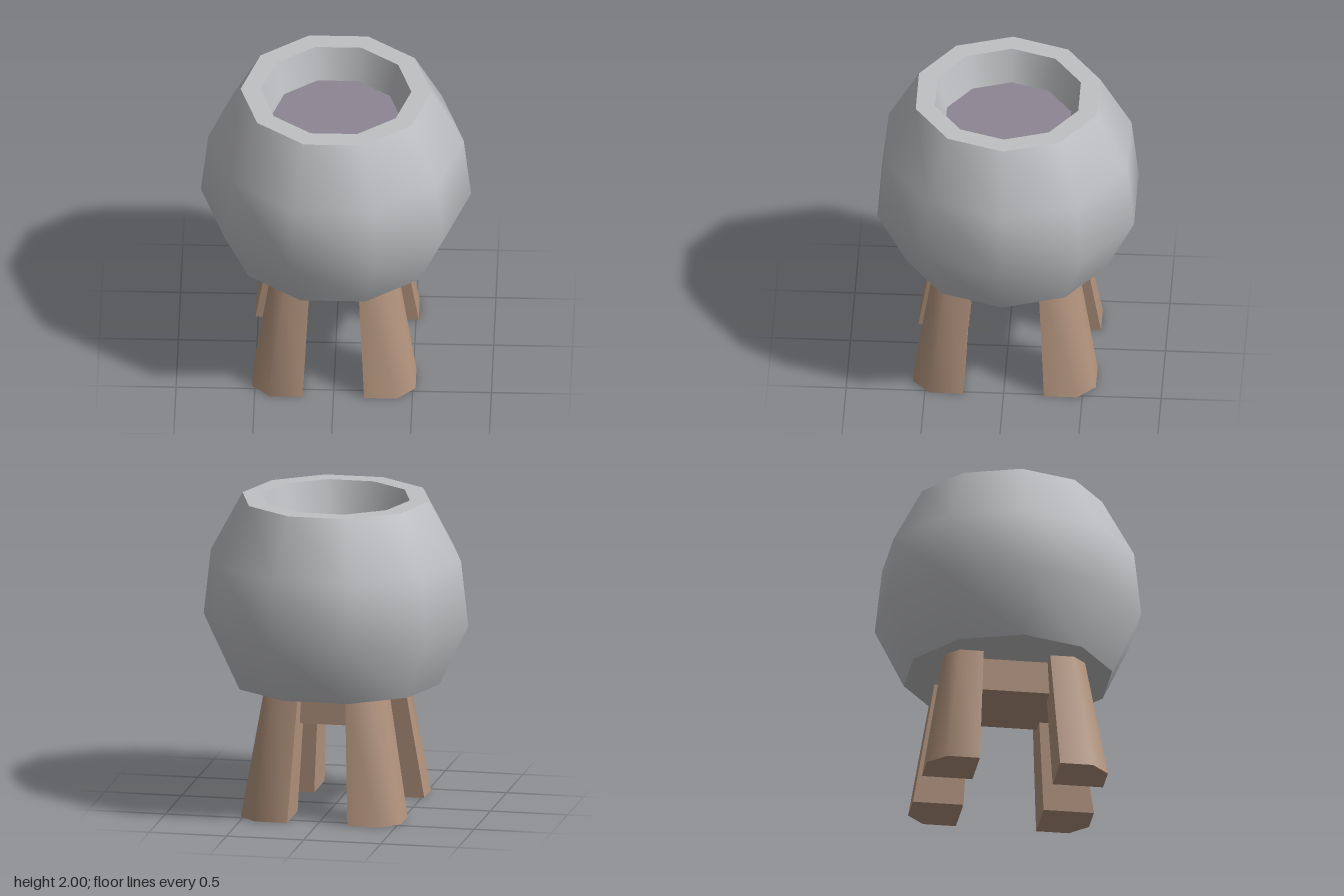
import * as THREE from 'three';
import { toCreasedNormals } from 'three/addons/utils/BufferGeometryUtils.js';

const stone = new THREE.MeshStandardMaterial({ color: 0xbfc0c3 });
stone.name = 'grey stone';
const wood = new THREE.MeshStandardMaterial({ color: 0xb3947e });
wood.name = 'brown wood';
const filling = new THREE.MeshStandardMaterial({ color: 0x8c8694 });
filling.name = 'dusty violet';

// Ten-sided ring surface swept from [radius, height] points
function ring(name, points, material) {
  const profile = points.map(([r, y]) => new THREE.Vector2(r, y));
  const mesh = new THREE.Mesh(new THREE.LatheGeometry(profile, 10, Math.PI / 2), material);
  mesh.name = name;
  return mesh;
}

// Tapered, splayed leg: a square section with its outer corner cut off
function leg(sx, sz) {
  const section = new THREE.Shape(
    [[0, 0], [1, 0], [1, 0.65], [0.65, 1], [0, 1]].map(([u, v]) => new THREE.Vector2(u, v))
  );
  const geometry = new THREE.ExtrudeGeometry(section, { depth: 1, bevelEnabled: false });
  const pos = geometry.attributes.position;
  const lerp = THREE.MathUtils.lerp;
  for (let i = 0; i < pos.count; i++) {
    let u = pos.getX(i), v = pos.getY(i);
    const t = pos.getZ(i);
    // The section is symmetric, so swapping its axes keeps mirrored legs facing outwards
    if (sx * sz > 0) [u, v] = [v, u];
    const x = lerp(0.195, 0.153, t) + u * lerp(0.323, 0.235, t);
    const z = lerp(0.257, 0.213, t) + v * lerp(0.323, 0.235, t);
    pos.setXYZ(i, sx * x, 0.812 * t, sz * z);
  }
  const mesh = new THREE.Mesh(toCreasedNormals(geometry, Math.PI / 3), wood);
  mesh.name = 'leg';
  return mesh;
}

export function createModel() {
  const model = new THREE.Group();
  model.name = 'bowlOnLegs';

  // Hollow bowl
  const bowl = new THREE.Group();
  bowl.name = 'bowl';
  bowl.add(
    ring('bowlUnderside', [[0, 0.81], [0.67, 0.81]], stone),
    ring('bowlWall', [[0.67, 0.81], [0.857, 1.2], [0.81, 1.62], [0.605, 2]], stone),
    ring('bowlRim', [[0.605, 2], [0.478, 2]], stone),
    ring('bowlInnerWall', [[0.478, 2], [0.415, 1.78]], stone),
    ring('bowlFilling', [[0.415, 1.78], [0, 1.78]], filling)
  );
  model.add(bowl);

  // Block joining the tops of the legs
  const brace = new THREE.Mesh(new THREE.BoxGeometry(0.55, 0.215, 0.67), wood);
  brace.name = 'legBrace';
  brace.position.y = 0.7025;
  model.add(brace);

  // Four splayed legs
  for (const sx of [-1, 1]) for (const sz of [-1, 1]) model.add(leg(sx, sz));

  return model;
}
